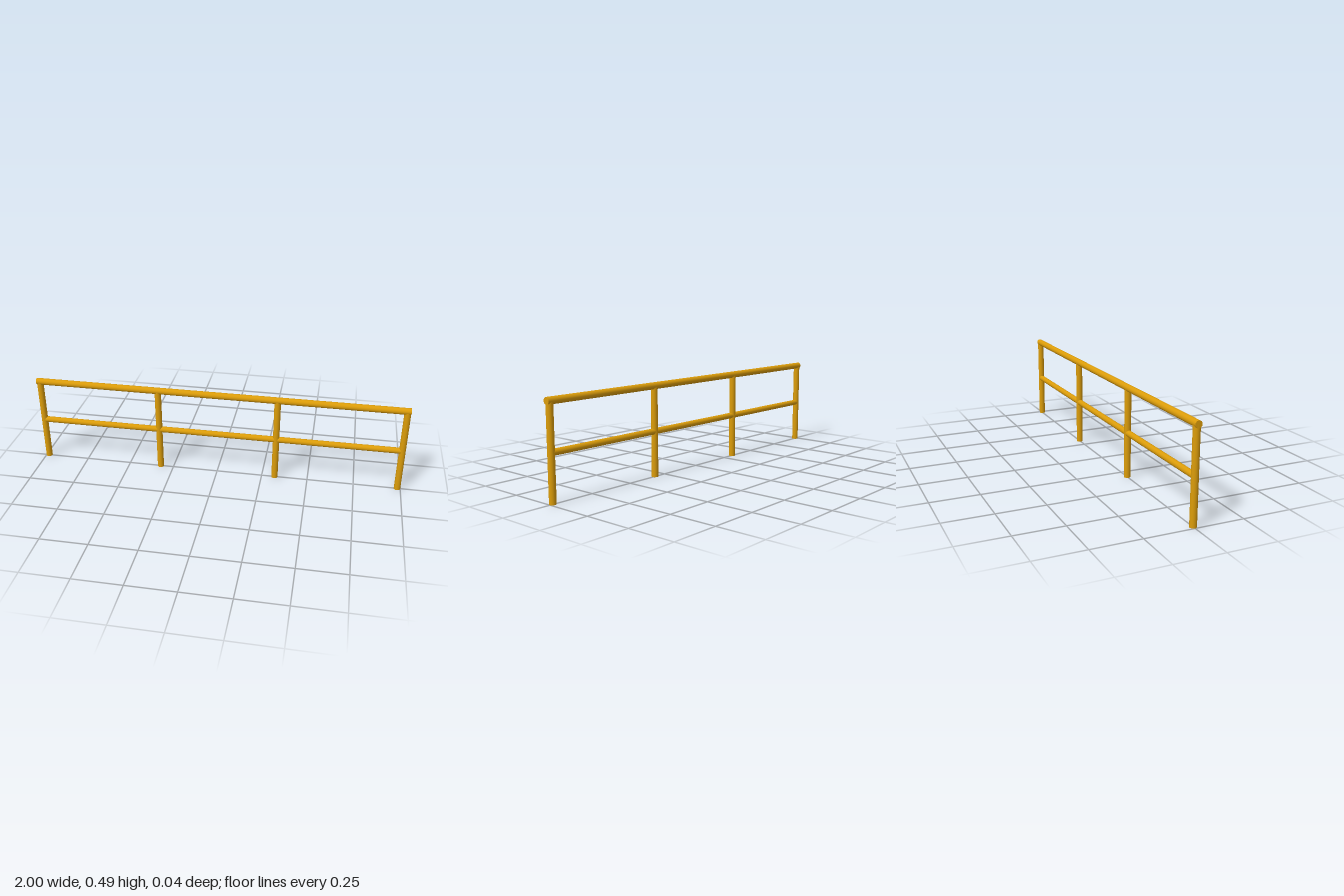
import * as THREE from 'three';

export function createModel() {
  const model = new THREE.Group();
  model.name = 'guardRail';
  const yellow = new THREE.MeshStandardMaterial({ color: 0xdb9c0a });
  yellow.name = 'safety yellow';

  // Round steel tube between two points
  const tube = (name, from, to, radius) => {
    const a = new THREE.Vector3(...from);
    const dir = new THREE.Vector3(...to).sub(a);
    const mesh = new THREE.Mesh(new THREE.CylinderGeometry(radius, radius, dir.length(), 32), yellow);
    mesh.name = name;
    mesh.position.copy(a).addScaledVector(dir, 0.5);
    mesh.quaternion.setFromUnitVectors(new THREE.Vector3(0, 1, 0), dir.normalize());
    model.add(mesh);
  };

  // The fence runs very slightly askew to the x axis
  const skew = 0.001;
  const railY = 0.471;
  const midY = 0.237;

  // Posts end inside the top rail
  const posts = { rightEndPost: -0.983, rightInnerPost: -0.322, leftInnerPost: 0.321, leftEndPost: 0.983 };
  for (const [name, x] of Object.entries(posts)) {
    tube(name, [x, 0, x * skew], [x, railY, x * skew], 0.0172);
  }

  // Handrail overhangs to the ends; the mid rail stops inside the end posts
  tube('topRail', [-1, railY, -skew], [1, railY, skew], 0.0178);
  tube('midRail', [-0.983, midY, -skew], [0.983, midY, skew], 0.016);

  return model;
}
